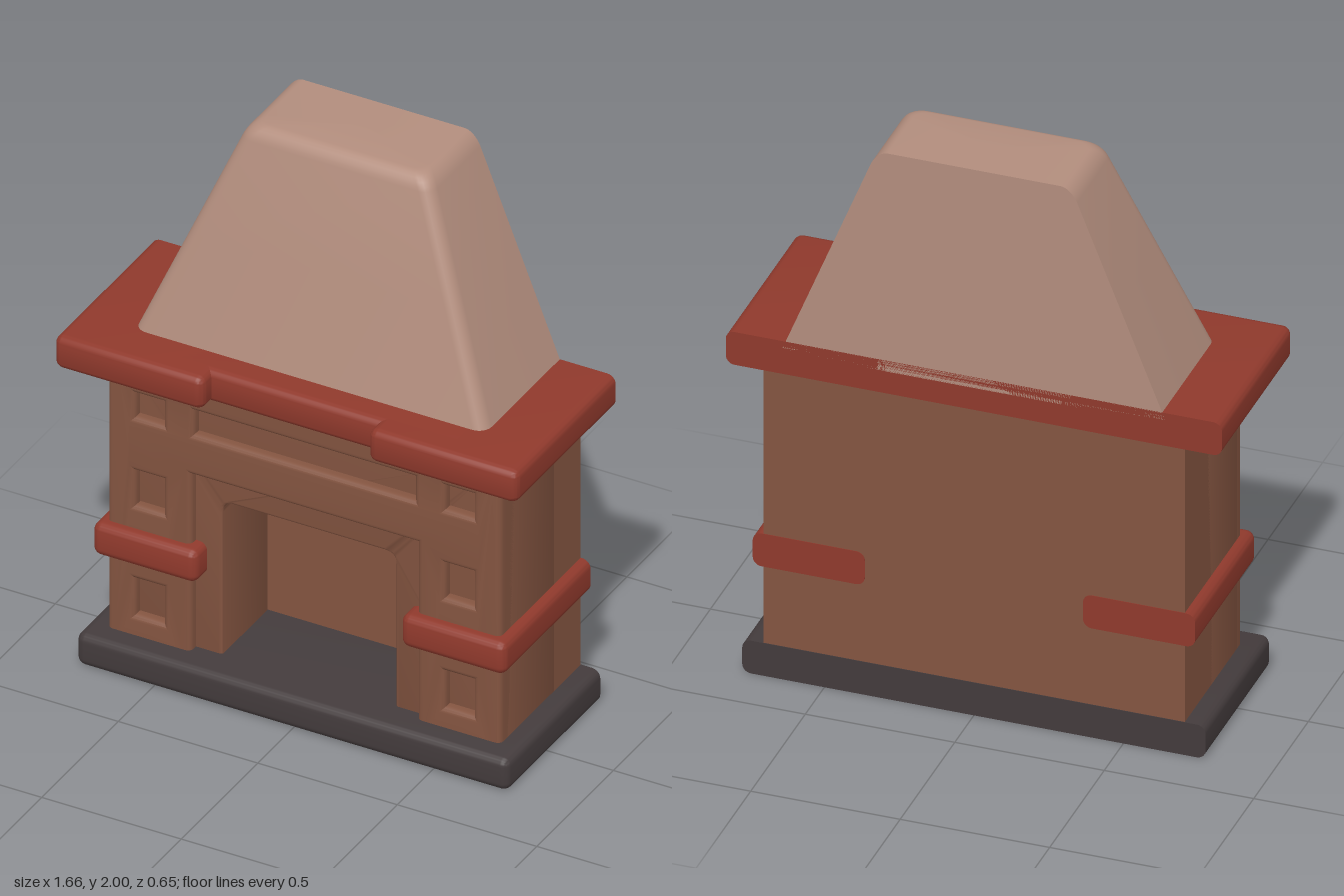
import * as THREE from 'three';
import { toCreasedNormals } from 'three/addons/utils/BufferGeometryUtils.js';
import { RoundedBoxGeometry } from 'three/addons/geometries/RoundedBoxGeometry.js';

const BACK = -0.325;

function material(name, color) {
  const m = new THREE.MeshStandardMaterial({ color });
  m.name = name;
  return m;
}

// Soft-edged slab whose back is cut flat against the wall plane
function slab(x0, x1, y0, y1, front) {
  const z0 = BACK - 0.2;
  const geo = new RoundedBoxGeometry(x1 - x0, y1 - y0, front - z0, 4, 0.03);
  geo.translate((x0 + x1) / 2, (y0 + y1) / 2, (front + z0) / 2);
  const p = geo.attributes.position;
  for (let i = 0; i < p.count; i++) p.setZ(i, Math.max(p.getZ(i), BACK));
  return toCreasedNormals(geo, 0.6);
}

// Wall outline with a doorway cut up from the bottom edge
function doorwayShape(half, doorHalf, doorTop, r) {
  const s = new THREE.Shape();
  s.moveTo(-half, 0.06);
  s.lineTo(-doorHalf, 0.06);
  s.lineTo(-doorHalf, doorTop - r);
  if (r) s.quadraticCurveTo(-doorHalf, doorTop, -doorHalf + r, doorTop);
  s.lineTo(doorHalf - r, doorTop);
  if (r) s.quadraticCurveTo(doorHalf, doorTop, doorHalf, doorTop - r);
  s.lineTo(doorHalf, 0.06);
  s.lineTo(half, 0.06);
  s.lineTo(half, 1.16);
  s.lineTo(-half, 1.16);
  s.closePath();
  return s;
}

function rectHole(x0, x1, y0, y1) {
  return new THREE.Path([
    new THREE.Vector2(x0, y0), new THREE.Vector2(x0, y1),
    new THREE.Vector2(x1, y1), new THREE.Vector2(x1, y0),
  ]);
}

// Extrude between two depths with rounded edges kept inside the outline
function wall(shape, z0, z1, bevel) {
  const geo = new THREE.ExtrudeGeometry(shape, {
    depth: z1 - z0 - 2 * bevel, bevelEnabled: true, bevelThickness: bevel,
    bevelSize: bevel, bevelOffset: 0, bevelSegments: 4, curveSegments: 8,
  });
  geo.translate(0, 0, z0 + bevel);
  return toCreasedNormals(geo, 0.6);
}

// Tapered hood from stacked cross-sections with rounded front corners
function hoodGeometry() {
  const levels = [[1.2, 0], [1.6, 0]];
  for (let i = 0; i <= 6; i++) {
    const t = (i / 6) * Math.PI / 2;
    levels.push([1.95 + 0.05 * Math.sin(t), 0.035 * (1 - Math.cos(t))]);
  }
  const pos = [], idx = [], r = 0.045, steps = 6;
  const n = 2 * (steps + 1) + 2;
  for (const [y, inset] of levels) {
    const hw = 0.63 - 0.401 * (y - 1.24) - inset;
    const zf = 0.165 - 0.233 * (y - 1.24) - inset;
    pos.push(-hw, y, BACK);
    for (const side of [-1, 1]) {
      for (let k = 0; k <= steps; k++) {
        const a = ((side < 0 ? k : steps - k) / steps) * Math.PI / 2;
        pos.push(side * (hw - r + r * Math.cos(a)), y, zf - r + r * Math.sin(a));
      }
    }
    pos.push(hw, y, BACK);
  }
  for (let i = 0; i < levels.length - 1; i++) {
    for (let j = 0; j < n; j++) {
      const a = i * n + j, b = i * n + (j + 1) % n;
      idx.push(a, b, b + n, a, b + n, a + n);
    }
  }
  const top = (levels.length - 1) * n, centre = pos.length / 3;
  pos.push(0, 2, -0.19);
  for (let j = 0; j < n; j++) idx.push(centre, top + j, top + (j + 1) % n);
  const geo = new THREE.BufferGeometry();
  geo.setAttribute('position', new THREE.Float32BufferAttribute(pos, 3));
  geo.setIndex(idx);
  return toCreasedNormals(geo, 0.6);
}

export function createModel() {
  const group = new THREE.Group();
  group.name = 'fireplace';
  const brown = material('brown wood', 0x835440);
  const red = material('red trim', 0x8f392c);
  const dark = material('dark stone', 0x433b3c);
  const plaster = material('pale plaster', 0xb28d7d);
  const add = (name, geo, mat) => {
    const mesh = new THREE.Mesh(geo, mat);
    mesh.name = name;
    group.add(mesh);
  };

  // Hearth slab
  add('hearth', slab(-0.775, 0.775, 0, 0.12, 0.28), dark);

  // Back wall, and the surround with the firebox opening
  const back = new THREE.BoxGeometry(1.41, 1.08, 0.193);
  back.translate(0, 0.62, -0.2265);
  add('backWall', back, brown);
  add('surround', wall(doorwayShape(0.695, 0.32, 0.7, 0.05), -0.16, 0.165, 0.01), brown);

  // Body sides fill behind the front plate
  for (const s of [-1, 1]) {
    const side = new THREE.BoxGeometry(0.2, 1.08, 0.47);
    side.translate(s * 0.605, 0.62, -0.075);
    add(s < 0 ? 'rightSide' : 'leftSide', side, brown);
  }

  // Front plate: pillars and lintel with recessed panels
  const b = 0.02;
  const face = doorwayShape(0.705 - b, 0.405 + b, 0.78 + b, 0);
  for (const [y0, y1] of [[0.18, 0.34], [0.59, 0.745], [0.92, 1.035]]) {
    for (const s of [-1, 1]) {
      const x = s * 0.555;
      face.holes.push(rectHole(x - 0.07, x + 0.07, y0 - 0.007, y1 + 0.007));
    }
  }
  face.holes.push(rectHole(-0.415, 0.415, 0.913, 1.042));
  add('pillarsAndLintel', wall(face, 0.1, 0.2, b), brown);

  // Bands around the pillars
  add('leftBand', slab(0.365, 0.74, 0.4, 0.52, 0.24), red);
  add('rightBand', slab(-0.74, -0.365, 0.4, 0.52, 0.24), red);

  // Mantel shelf with projecting ends
  add('mantelMiddle', slab(-0.6, 0.6, 1.12, 1.24, 0.265), red);
  add('mantelLeft', slab(0.295, 0.83, 1.12, 1.24, 0.325), red);
  add('mantelRight', slab(-0.83, -0.295, 1.12, 1.24, 0.325), red);

  // Chimney hood
  add('hood', hoodGeometry(), plaster);
  return group;
}
